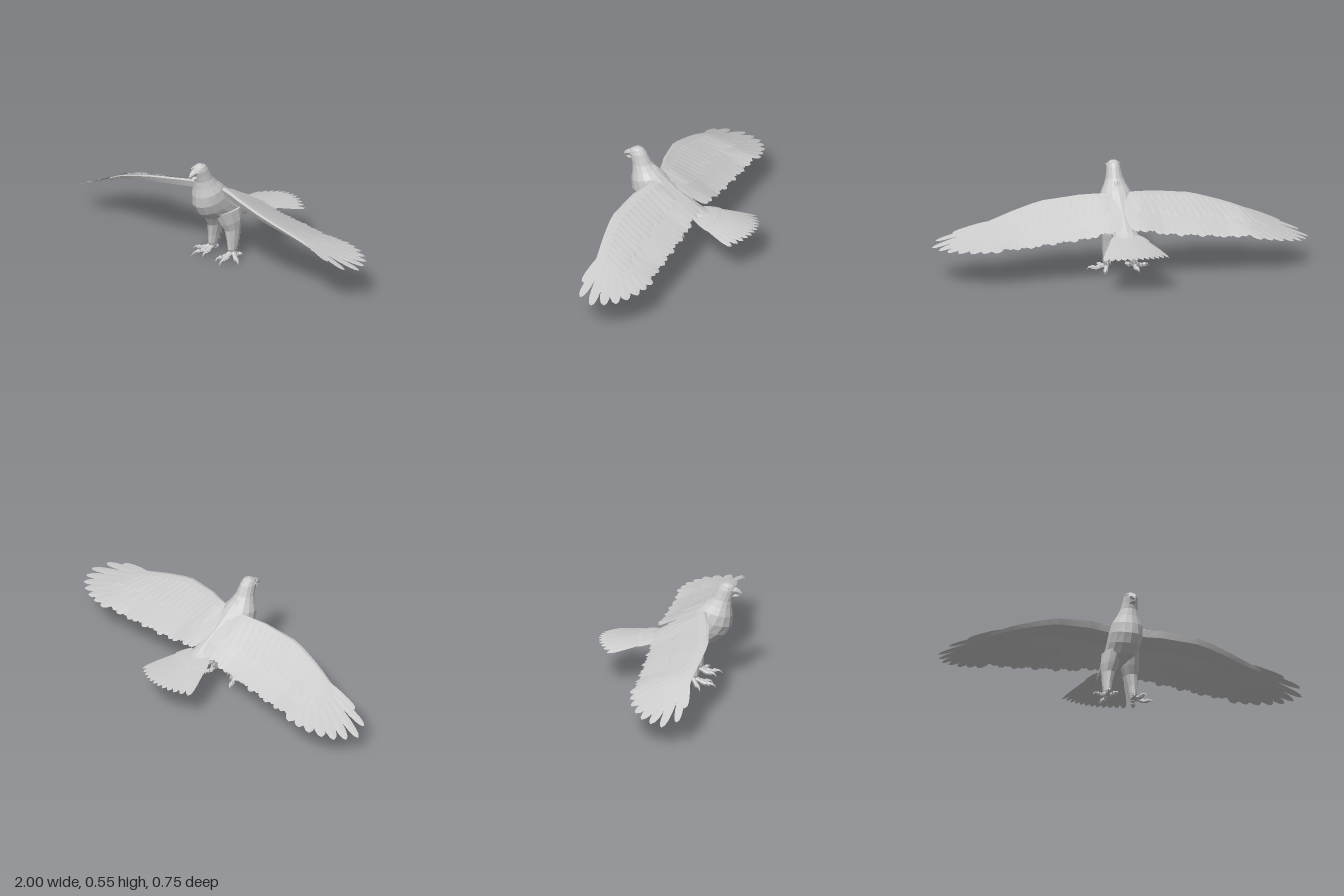
import * as THREE from 'three';
import { mergeGeometries } from 'three/addons/utils/BufferGeometryUtils.js';

const solid = new THREE.MeshStandardMaterial({ color: 0xcccccc, flatShading: true });
const thin = new THREE.MeshStandardMaterial({ color: 0xcccccc, flatShading: true, side: THREE.DoubleSide });
const lerp = THREE.MathUtils.lerp;

// Grid of points (rows of equal length) to a faceted geometry
function skin(rows, caps = false) {
  const pos = [];
  const tri = (a, b, c) => pos.push(...a, ...b, ...c);
  for (let i = 0; i < rows.length - 1; i++) {
    for (let j = 0; j < rows[i].length - 1; j++) {
      const a = rows[i][j], b = rows[i][j + 1], c = rows[i + 1][j], d = rows[i + 1][j + 1];
      tri(a, c, b);
      tri(b, c, d);
    }
  }
  if (caps) {
    const first = rows[0], last = rows[rows.length - 1];
    for (let j = 1; j < first.length - 2; j++) {
      tri(first[0], first[j], first[j + 1]);
      tri(last[0], last[j + 1], last[j]);
    }
  }
  const g = new THREE.BufferGeometry();
  g.setAttribute('position', new THREE.Float32BufferAttribute(pos, 3));
  g.computeVertexNormals();
  return g;
}

// Loft of elliptical rings; station = [z0, y0, z1, y1, halfWidth, centreX]
function loft(stations, sides = 12) {
  return skin(stations.map(([z0, y0, z1, y1, w, cx = 0]) =>
    Array.from({ length: sides + 1 }, (_, j) => {
      const a = (j % sides) / sides * Math.PI * 2, k = (1 + Math.cos(a)) / 2;
      return [cx + w * Math.sin(a), lerp(y0, y1, k), lerp(z0, z1, k)];
    })), true);
}

// Leaf-shaped feather laid in plan from root to tip, on a height rule
function feather(root, tip, width, height) {
  const dx = tip[0] - root[0], dz = tip[1] - root[1], len = Math.hypot(dx, dz);
  const profile = [0.6, 0.9, 1, 1, 0.9, 0.6, 0.08], at = [0, 0.25, 0.5, 0.7, 0.85, 0.95, 1];
  return skin(at.map((t, i) => [-1, 0, 1].map(e => {
    const o = e * profile[i] * width / 2;
    const x = root[0] + dx * t - dz / len * o, z = root[1] + dz * t + dx / len * o;
    return [x, height(x, z) + (e ? e * 0.0012 : 0.0015), z];
  })));
}

// Wing shape along the span: x, leading edge z, leading edge y, chord slope
const span = [
  [0, 0.2, 0.415, 0.5], [0.1, 0.21, 0.415, 0.5], [0.2, 0.24, 0.406, 0.5], [0.4, 0.272, 0.376, 0.42],
  [0.55, 0.255, 0.332, 0.36], [0.7, 0.23, 0.282, 0.22], [0.85, 0.225, 0.235, 0.12], [1.01, 0.21, 0.19, 0.05],
];
function wingAt(x) {
  let i = 0;
  while (i < span.length - 2 && span[i + 1][0] < x) i++;
  const t = THREE.MathUtils.clamp((x - span[i][0]) / (span[i + 1][0] - span[i][0]), 0, 1);
  return span[i].map((v, k) => lerp(v, span[i + 1][k], t));
}

const TRAIL = -0.06;

function makeWing(side) {
  const wing = new THREE.Group();
  const height = layer => (x, z) => {
    const [, zl, yl, slope] = wingAt(x);
    const droop = side < 0 ? Math.max(0, x - 0.65) / 0.35 * 0.055 : 0;
    return yl - slope * (zl - z) - droop + layer;
  };
  const add = (name, geos) => {
    const m = new THREE.Mesh(mergeGeometries(geos).scale(side, 1, 1), thin);
    m.geometry.computeVertexNormals();
    m.name = name;
    wing.add(m);
  };

  // Fleshy arm with an aerofoil section
  const section = [[0.8, 0.002], [0.5, 0.005], [0.2, 0.006], [0.05, 0.002], [0, -0.012],
    [0.04, -0.042], [0.18, -0.036], [0.42, -0.01], [0.8, -0.005]];
  const arm = [];
  for (let i = 0; i <= 12; i++) {
    const x = lerp(0.02, 0.74, i / 12), zl = wingAt(x)[1], thick = 1.15 - x;
    const chord = (zl - TRAIL) * (i > 10 ? 0.85 : 1);
    arm.push(section.map(([c, o]) => {
      const z = zl - c * chord;
      return [x, height(o * thick)(x, z), z];
    }));
  }
  add('wingArm', [skin(arm)]);

  // Secondary feathers along the trailing edge
  const secondaries = [];
  for (let i = 0; i < 17; i++) {
    const x = lerp(0.04, 0.65, i / 16);
    secondaries.push(feather([x - 0.01, 0.1], [x + 0.02, TRAIL - 0.014 - 0.008 * Math.sin(i * 2.3)], 0.065, height(-0.003)));
  }
  add('secondaryFeathers', secondaries);

  // Primary feathers fanned at the tip
  const tips = [[0.87, 0.232], [0.965, 0.205], [1, 0.13], [0.975, 0.068], [0.94, 0.015],
    [0.89, -0.025], [0.83, -0.058], [0.77, -0.075], [0.71, -0.088]];
  add('primaryFeathers', tips.map((t, i) =>
    feather([lerp(0.69, 0.62, i / 8), lerp(0.213, 0.08, i / 8)], t, lerp(0.037, 0.065, Math.min(1, i / 5)), height(-0.001 * i))));

  // Covert rows above and below
  const coverts = [];
  for (const [reach, layer] of [[0.62, 0.009], [-0.01, 0], [0.6, -0.012]].filter(r => r[1])) {
    for (let i = 0; i < 18; i++) {
      const x = lerp(0.07, 0.7, i / 17), [, zl] = wingAt(x);
      const end = reach + 0.04 * Math.sin(i * 1.9 + reach * 9);
      coverts.push(feather([x, zl - 0.05], [x + 0.025 + 0.06 * x, lerp(zl, TRAIL, end)], 0.05, height(layer)));
    }
  }
  add('covertFeathers', coverts);
  return wing;
}

// Tapered toe ending in a curved claw
function toe(cx, dx, dz) {
  const pts = [[0, 0.042], [0.25, 0.03], [0.55, 0.017], [0.75, 0.02], [0.9, 0.017], [1, 0.003]];
  const curve = new THREE.CatmullRomCurve3(pts.map(([t, y]) => new THREE.Vector3(cx + dx * t, y, 0.13 + dz * t)));
  const n = 12, sides = 6, g = new THREE.TubeGeometry(curve, n, 1, sides);
  const p = g.attributes.position, v = new THREE.Vector3();
  for (let i = 0; i < p.count; i++) {
    const t = Math.floor(i / (sides + 1)) / n, c = curve.getPointAt(t);
    const r = t < 0.7 ? 0.0115 - 0.002 * Math.sin(t * 25) : 0.008 * (1 - t) / 0.3 + 0.0008;
    v.fromBufferAttribute(p, i).sub(c).multiplyScalar(r).add(c);
    p.setXYZ(i, v.x, Math.max(0, v.y), v.z);
  }
  return g;
}

export function createModel() {
  const model = new THREE.Group();
  const add = (name, geo, mat = solid) => {
    const m = new THREE.Mesh(geo, mat);
    m.name = name;
    model.add(m);
    return m;
  };

  // Head, neck, breast and rump in one loft
  add('body', loft([
    [0.292, 0.556, 0.315, 0.554, 0.014], [0.268, 0.547, 0.338, 0.541, 0.029], [0.252, 0.528, 0.348, 0.518, 0.037],
    [0.243, 0.51, 0.336, 0.488, 0.04], [0.225, 0.475, 0.327, 0.46, 0.046], [0.2, 0.448, 0.326, 0.42, 0.06],
    [0.165, 0.423, 0.33, 0.375, 0.079], [0.12, 0.385, 0.326, 0.32, 0.087], [0.07, 0.347, 0.3, 0.272, 0.086],
    [0.03, 0.322, 0.25, 0.232, 0.083], [-0.02, 0.29, 0.18, 0.213, 0.077], [-0.06, 0.263, 0.08, 0.208, 0.07],
    [-0.09, 0.247, -0.02, 0.21, 0.063], [-0.15, 0.233, -0.12, 0.216, 0.05],
  ], 14));

  // Ruff of pointed feathers at the nape
  const ruff = [];
  for (let i = -4; i <= 4; i++) {
    ruff.push(new THREE.ConeGeometry(0.01, 0.05, 4).rotateX(Math.PI + 0.95)
      .translate(i * 0.012, 0.443 - 0.0022 * i * i, 0.197 + 0.0016 * i * i));
  }
  add('neckRuff', mergeGeometries(ruff));

  // Hooked open beak
  add('upperBeak', loft([[0.325, 0.503, 0.325, 0.538, 0.025], [0.348, 0.502, 0.352, 0.531, 0.018],
    [0.362, 0.499, 0.369, 0.519, 0.011], [0.368, 0.493, 0.378, 0.505, 0.006], [0.373, 0.486, 0.375, 0.487, 0.001]], 8));
  add('lowerBeak', loft([[0.32, 0.478, 0.32, 0.498, 0.02], [0.348, 0.481, 0.348, 0.491, 0.012],
    [0.364, 0.485, 0.364, 0.489, 0.003]], 8));

  // Fanned tail, arched from side to side, with coverts above and below its base
  const tail = [];
  for (const [reach, layer, n] of [[1, 0, 12], [0.45, -0.007, 9], [0.35, 0.006, 9]]) {
    for (let i = 0; i < n; i++) {
      const a = i / (n - 1) * 2 - 1, rx = 0.055 * a;
      const y = (x, z) => 0.238 + (z + 0.08) * 0.11 - x * x * 0.9 + layer;
      tail.push(feather([rx, -0.05], [lerp(rx, 0.168 * a, reach), lerp(-0.05, -0.375 + 0.07 * a * a, reach)], 0.042, y));
    }
  }
  add('tailFeathers', mergeGeometries(tail), thin);

  for (const side of [1, -1]) {
    const wing = makeWing(side);
    wing.name = side > 0 ? 'leftWing' : 'rightWing';
    model.add(wing);

    // Eye under a brow ridge
    const eye = add('eye', new THREE.SphereGeometry(0.006, 8, 6));
    eye.position.set(side * 0.03, 0.525, 0.323);
    const brow = add('brow', new THREE.BoxGeometry(0.008, 0.004, 0.03));
    brow.position.set(side * 0.03, 0.532, 0.324);
    brow.rotation.set(0.2, -side * 0.35, 0);

    // Feathered leg
    add('leg', loft([
      [0.04, 0.285, 0.235, 0.265, 0.05, side * 0.045], [0.05, 0.22, 0.2, 0.2, 0.045, side * 0.055],
      [0.068, 0.17, 0.173, 0.16, 0.034, side * 0.062], [0.085, 0.1, 0.165, 0.1, 0.025, side * 0.069],
      [0.1, 0.06, 0.162, 0.055, 0.02, side * 0.071], [0.115, 0.03, 0.15, 0.03, 0.014, side * 0.071],
    ], 10));

    // Ragged tufts down the back of the leg
    const tufts = [];
    for (let i = 0; i < 14; i++) {
      const t = i / 13, off = ((i % 3) - 1) * 0.011;
      tufts.push(new THREE.ConeGeometry(0.011, 0.05, 4).rotateX(Math.PI + 0.45)
        .translate(side * lerp(0.056, 0.071, t) + off, lerp(0.2, 0.06, t), lerp(0.06, 0.102, t) + Math.abs(off) * 0.4));
    }
    add('legTufts', mergeGeometries(tufts));

    // Three front toes and one hind toe
    add('foot', mergeGeometries([[-0.025, 0.105], [0.03, 0.13], [0.095, 0.055], [0.02, -0.055]]
      .map(([dx, dz]) => toe(side * 0.071, side * dx, dz))));
  }
  return model;
}
